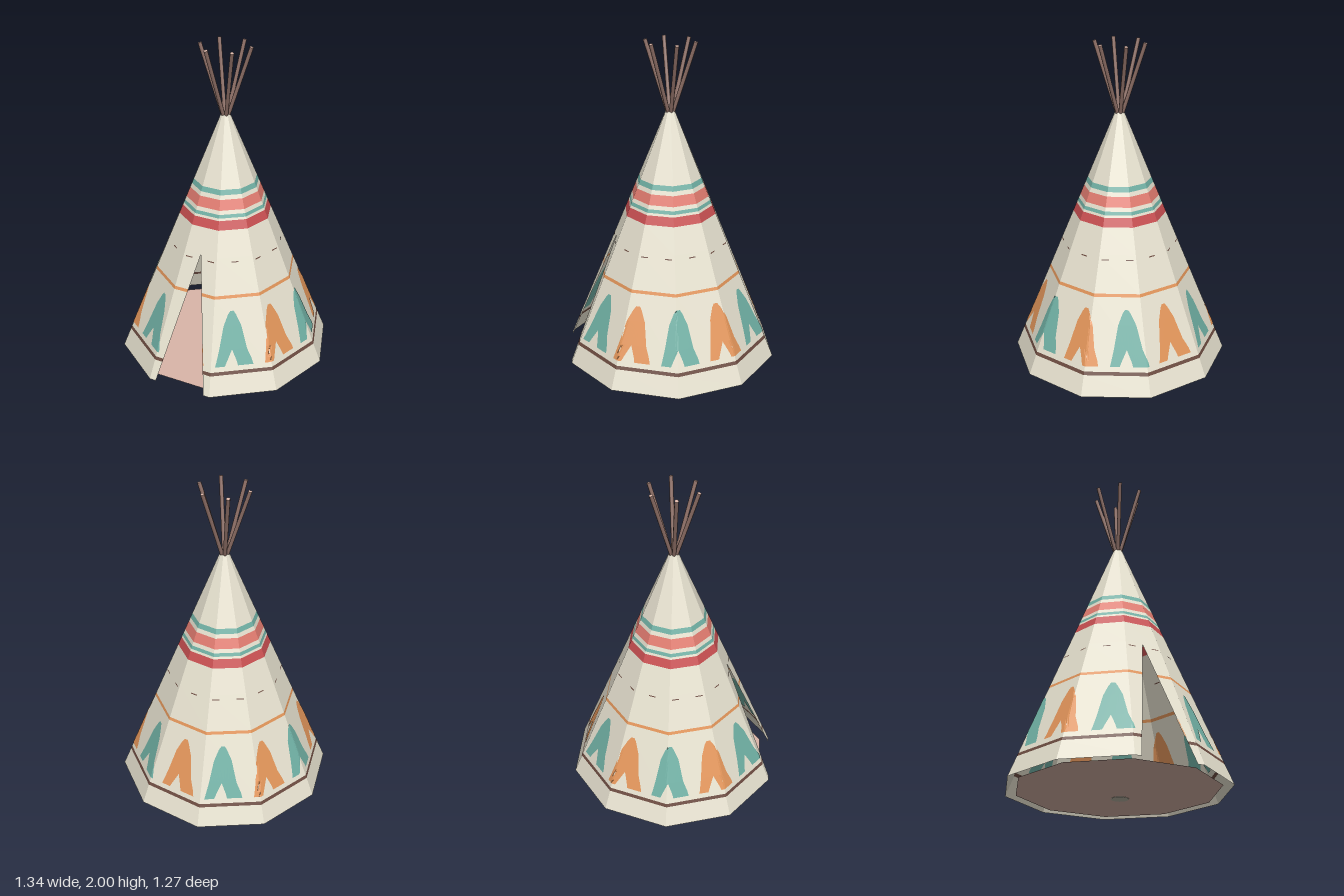
import * as THREE from 'three';

const SIDES = 10, STEP = 360 / SIDES, TOP = 1.575, RB = 0.67, RT = 0.028;
const DOOR_W = 0.165, DOOR_H = 0.785;
const rad = THREE.MathUtils.degToRad;
const APOTHEM = Math.cos(rad(STEP / 2));

const mat = (name, color) => {
  const m = new THREE.MeshStandardMaterial({ color, side: THREE.DoubleSide });
  m.name = name;
  return m;
};

const coneRadius = y => RB + (RT - RB) * y / TOP;
const doorHalf = y => Math.max(0, DOOR_W * (1 - y / DOOR_H));

// Point on the ten-sided tent wall at an angle (degrees) and height
function wallPoint(deg, y, off = 0) {
  const local = (((deg % STEP) + STEP) % STEP) - STEP / 2;
  const r = coneRadius(y) * APOTHEM / Math.cos(rad(local)) + off;
  return [r * Math.cos(rad(deg)), y, r * Math.sin(rad(deg))];
}

const quad = (out, a, b, c, d) => out.push(...a, ...c, ...b, ...a, ...d, ...c);

function facesMesh(name, positions, material) {
  const g = new THREE.BufferGeometry();
  g.setAttribute('position', new THREE.Float32BufferAttribute(positions, 3));
  g.computeVertexNormals();
  const mesh = new THREE.Mesh(g, material);
  mesh.name = name;
  return mesh;
}

// One horizontal ring of the wall, with the doorway left out of the front face
function wallBand(y0, y1) {
  const out = [];
  for (let i = 0; i < SIDES; i++) {
    const a = i * STEP, b = a + STEP;
    if (a === 72 && y0 < DOOR_H) {
      const edge = (s, y) => [s * doorHalf(y), y, coneRadius(y) * APOTHEM];
      quad(out, wallPoint(a, y0), edge(1, y0), edge(1, y1), wallPoint(a, y1));
      quad(out, edge(-1, y0), wallPoint(b, y0), wallPoint(b, y1), edge(-1, y1));
    } else {
      quad(out, wallPoint(a, y0), wallPoint(b, y0), wallPoint(b, y1), wallPoint(a, y1));
    }
  }
  return out;
}

// Painted strip on both faces of the wall; l and r are angles at each height
function paintStrip(out, y0, l0, r0, y1, l1, r1, cols = 8) {
  for (const off of [0.003, -0.003]) {
    for (let i = 0; i < cols; i++) {
      const p = i / cols, q = (i + 1) / cols;
      const at = (l, r, t, y) => wallPoint(l + (r - l) * t, y, off);
      quad(out, at(l0, r0, p, y0), at(l0, r0, q, y0), at(l1, r1, q, y1), at(l1, r1, p, y1));
    }
  }
}

export function createModel() {
  const model = new THREE.Group();
  model.name = 'tent';
  const cream = mat('cream canvas', 0xe6e1cf);
  const teal = mat('teal paint', 0x70b0a4);
  const orange = mat('orange paint', 0xe2955a);
  const salmon = mat('salmon paint', 0xe27c70);
  const red = mat('red paint', 0xca5052);
  const brown = mat('dark brown paint', 0x6d4c41);
  const wood = mat('pole wood', 0x8d6e65);
  const pink = mat('pale floor', 0xdbb6a9);
  const stone = mat('grey lantern', 0xbdbaa8);

  // Canvas wall, stacked from coloured rings: [top height, material]
  const rings = [
    [0.12, cream], [0.14, brown], [0.555, cream], [0.573, orange], [DOOR_H, cream],
    [0.94, cream], [0.993, red], [1.007, cream], [1.027, teal], [1.05, cream],
    [1.11, salmon], [1.135, cream], [1.165, teal], [TOP, cream],
  ];
  let y = 0;
  for (const [top, m] of rings) {
    model.add(facesMesh(m === cream ? 'canvasWall' : 'wallStripe', wallBand(y, top), m));
    y = top;
  }

  // Twelve forked motifs: [height, left, notch left, notch right, right] in degrees
  const rows = [
    [0.17, -9.7, -3.9, 4, 13.4],
    [0.20, -9, -2.6, 3.2, 12.8],
    [0.265, -7.6, 0.6, 0.6, 10.3],
    [0.40, -5, 1, 1, 7.6],
    [0.465, -1.8, 1.2, 1.2, 4.2],
    [0.485, 0, 1.3, 1.3, 2.6],
  ];
  for (let k = 0; k < 12; k++) {
    const out = [], c = k * 30;
    if (c === 90) continue;
    for (let i = 0; i + 1 < rows.length; i++) {
      const [y0, a0, b0, c0, d0] = rows[i], [y1, a1, b1, c1, d1] = rows[i + 1];
      paintStrip(out, y0, c - a0, c - b0, y1, c - a1, c - b1);
      paintStrip(out, y0, c - c0, c - d0, y1, c - c1, c - d1);
    }
    model.add(facesMesh('wallMotif', out, k % 2 ? orange : teal));
  }

  // Sliver of the front motif beside the doorway
  const doorDeg = h => 90 - THREE.MathUtils.radToDeg(Math.atan(doorHalf(h) / (coneRadius(h) * APOTHEM)));
  const sliver = [];
  paintStrip(sliver, 0.17, doorDeg(0.17), 76.6, 0.2, doorDeg(0.2), 77.2);
  paintStrip(sliver, 0.2, doorDeg(0.2), 77.2, 0.28, doorDeg(0.28), doorDeg(0.28) - 0.4);
  model.add(facesMesh('doorMotif', sliver, orange));

  // Row of thin dashes above the doorway
  const dashes = [];
  for (let k = 0; k < 15; k++) {
    const a = k * 24 + 6;
    if (Math.abs(a - 90) < 5) continue;
    paintStrip(dashes, 0.757, a - 3.5, a + 3.5, 0.763, a - 3.5, a + 3.5, 4);
  }
  model.add(facesMesh('dashRow', dashes, brown));

  // Floor mat
  const floor = new THREE.Mesh(new THREE.CircleGeometry(0.606, SIDES), pink);
  floor.name = 'floor';
  floor.rotation.x = -Math.PI / 2;
  floor.position.y = 0.002;
  model.add(floor);

  // Six poles fanning out of the peak, with pale cut ends
  for (let k = 0; k < 6; k++) {
    const a = rad(-10 + 60 * k);
    const start = new THREE.Vector3(0.005 * Math.cos(a), 1.53, 0.005 * Math.sin(a));
    const end = new THREE.Vector3(0.155 * Math.cos(a), 1.996, 0.155 * Math.sin(a));
    const dir = end.clone().sub(start);
    const pole = new THREE.Mesh(new THREE.CylinderGeometry(0.012, 0.012, dir.length(), 8), [wood, pink, pink]);
    pole.name = 'pole';
    pole.position.copy(start).addScaledVector(dir, 0.5);
    pole.quaternion.setFromUnitVectors(new THREE.Vector3(0, 1, 0), dir.normalize());
    model.add(pole);
  }

  // Small lantern standing inside
  const lantern = new THREE.Group();
  lantern.name = 'lantern';
  for (const [name, r, h, y0] of [['lanternBase', 0.054, 0.018, 0], ['lanternBody', 0.045, 0.147, 0.018]]) {
    const part = new THREE.Mesh(new THREE.CylinderGeometry(r, r, h, 16), stone);
    part.name = name;
    part.position.y = y0 + h / 2;
    lantern.add(part);
  }
  lantern.position.set(0.09, 0, -0.16);
  model.add(lantern);

  return model;
}
